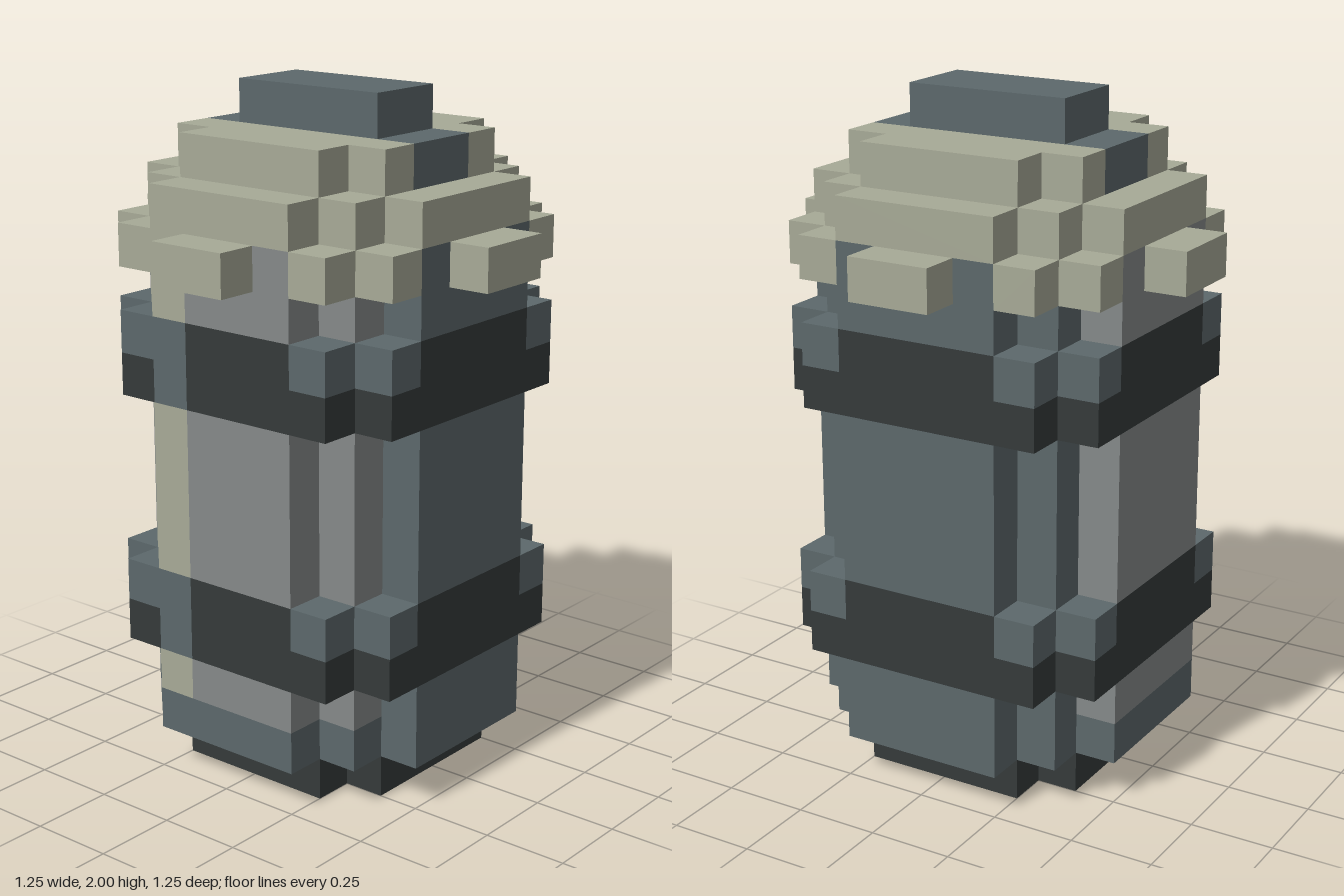
import * as THREE from 'three';

const U = 0.125; // one grid step

const mat = (name, color) => {
  const m = new THREE.MeshStandardMaterial({ color });
  m.name = name;
  return m;
};

export function createModel() {
  const beige = mat('pale beige', 0xa7aa97);
  const slate = mat('slate', 0x5c686b);
  const grey = mat('mid grey', 0x858989);
  const dark = mat('charcoal', 0x353a3a);

  const model = new THREE.Group();
  model.name = 'canister';

  const addGroup = (name) => {
    const g = new THREE.Group();
    g.name = name;
    model.add(g);
    return g;
  };

  // Block between grid limits
  const block = (parent, name, m, x0, x1, y0, y1, z0, z1) => {
    const geo = new THREE.BoxGeometry((x1 - x0) * U, (y1 - y0) * U, (z1 - z0) * U);
    geo.translate((x0 + x1) / 2 * U, (y0 + y1) / 2 * U, (z0 + z1) / 2 * U);
    const mesh = new THREE.Mesh(geo, m);
    mesh.name = name;
    parent.add(mesh);
  };

  // Slab with stepped corners; steps are one quadrant's outline points
  const slab = (parent, name, m, steps, y0, y1) => {
    const back = [...steps].reverse();
    const pts = [
      ...steps,
      ...back.map(([x, z]) => [-x, z]),
      ...steps.map(([x, z]) => [-x, -z]),
      ...back.map(([x, z]) => [x, -z]),
    ].map(([x, z]) => new THREE.Vector2(x * U, z * U));
    const geo = new THREE.ExtrudeGeometry(new THREE.Shape(pts), { depth: (y1 - y0) * U, bevelEnabled: false });
    geo.rotateX(-Math.PI / 2).translate(0, y0 * U, 0);
    const mesh = new THREE.Mesh(geo, m);
    mesh.name = name;
    parent.add(mesh);
  };

  // Pair of cubes filling the steps at each of the four corners
  const cornerCubes = (parent, name, m, y) => {
    for (const sx of [-1, 1]) for (const sz of [-1, 1]) {
      for (const [cx, cz] of [[2.5, 3.5], [3.5, 2.5]]) {
        const x = cx * sx, z = cz * sz;
        block(parent, name, m, x - 0.5, x + 0.5, y, y + 1, z - 0.5, z + 0.5);
      }
    }
  };

  const small = [[3, 2], [2, 2], [2, 3]];
  const round = [[4, 2], [3, 2], [3, 3], [2, 3], [2, 4]];

  // Foot and lower rim
  slab(model, 'foot', dark, small, 0, 1);
  slab(model, 'lowerRim', slate, round, 1, 2);

  // Body sections between the bands
  for (const [y0, y1] of [[2, 3], [5, 9], [11, 13]]) {
    const body = addGroup('bodySection');
    block(body, 'core', slate, -2, 2, y0, y1, -4, 3);
    block(body, 'rightFlank', slate, -3, -2, y0, y1, -3, 2);
    block(body, 'leftFlank', slate, 2, 3, y0, y1, -3, 2);
    block(body, 'leftPanel', slate, 3, 4, y0, y1, -2, 2);
    block(body, 'rightPanel', grey, -4, -3, y0, y1, -2, 2);
    block(body, 'frontPanel', grey, -1, 2, y0, y1, 3, 4);
    block(body, 'frontCorner', grey, 2, 3, y0, y1, 2, 3);
    block(body, 'stripe', beige, -2, -1, y0, y1, 3, 4);
    block(body, 'stripeCorner', beige, -3, -2, y0, y1, 2, 3);
  }

  // Bands: full dark ring below, dark ring with slate corners above
  for (const y of [3, 9]) {
    const band = addGroup('band');
    block(band, 'ring', dark, -4, 4, y, y + 1, -3, 3);
    block(band, 'ringBack', dark, -3, 3, y, y + 1, -4, -3);
    block(band, 'ringFront', dark, -1, 3, y, y + 1, 3, 4);
    block(band, 'ringFrontEnd', dark, -3, -2, y, y + 1, 3, 4);
    block(band, 'upperRing', dark, -4, 4, y + 1, y + 2, -2, 2);
    block(band, 'upperRingBack', dark, -3, 3, y + 1, y + 2, -3, -2);
    block(band, 'upperRingBackFace', dark, -2, 2, y + 1, y + 2, -4, -3);
    block(band, 'upperRingFront', dark, -3, 3, y + 1, y + 2, 2, 3);
    block(band, 'upperRingFrontFace', dark, -1, 2, y + 1, y + 2, 3, 4);
    block(band, 'bandStripe', slate, -2, -1, y, y + 2, 3, 4);
    cornerCubes(band, 'bandCorner', slate, y + 1);
  }

  // Cap: corner cubes, four tabs, stepped lid
  const cap = addGroup('cap');
  cornerCubes(cap, 'capCorner', beige, 12);
  for (const s of [-1, 1]) {
    block(cap, 'sideTab', beige, 4.5 * s - 0.5, 4.5 * s + 0.5, 12, 13, -1, 1);
    block(cap, 'endTab', beige, -1, 1, 12, 13, 4.5 * s - 0.5, 4.5 * s + 0.5);
    block(cap, 'lidHalf', beige, -3, 3, 14, 15, 1.5 * s - 0.5, 1.5 * s + 0.5);
    block(cap, 'lidEdge', beige, -2, 2, 14, 15, 2.5 * s - 0.5, 2.5 * s + 0.5);
  }
  slab(cap, 'capRing', beige, round, 13, 14);

  // Handle set in the lid
  block(model, 'handleBase', slate, -3, 3, 14, 15, -1, 1);
  block(model, 'handle', slate, -2, 2, 15, 16, -1, 1);

  return model;
}
